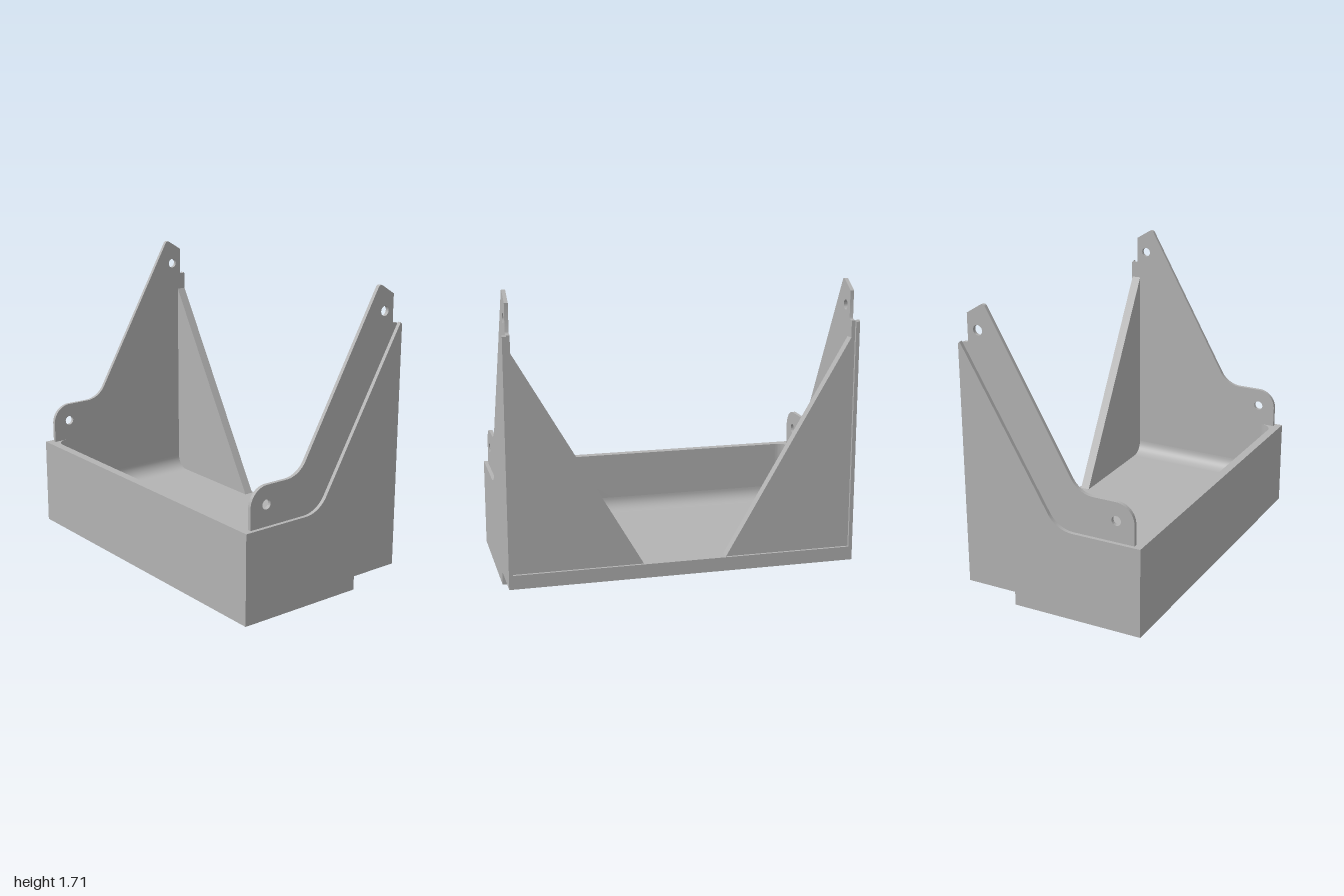
import * as THREE from 'three';
import { toCreasedNormals } from 'three/addons/utils/BufferGeometryUtils.js';

const IN = 0.957, MID = 0.978, FLOOR = 0.16, RIM = 0.52, FRONT = 0.49, R = 0.08;

// Outline through [x, y, cornerRadius] points, with true arcs at the corners
function rounded(points, path = new THREE.Shape()) {
  const n = points.length;
  points.forEach(([x, y, r = 0], i) => {
    const p = new THREE.Vector2(x, y);
    const toward = (q) => new THREE.Vector2(q[0], q[1]).sub(p).normalize();
    const a = toward(points[(i + n - 1) % n]), b = toward(points[(i + 1) % n]);
    if (!r) {
      if (i) path.lineTo(x, y); else path.moveTo(x, y);
      return;
    }
    const half = Math.acos(a.dot(b)) / 2;
    const c = a.clone().add(b).normalize().multiplyScalar(r / Math.sin(half)).add(p);
    const t = r / Math.tan(half);
    const s = a.clone().multiplyScalar(t).add(p), e = b.clone().multiplyScalar(t).add(p);
    if (i) path.lineTo(s.x, s.y); else path.moveTo(s.x, s.y);
    path.absarc(c.x, c.y, r, Math.atan2(s.y - c.y, s.x - c.x),
      Math.atan2(e.y - c.y, e.x - c.x), a.cross(b) > 0);
  });
  path.closePath();
  return path;
}

const circle = (x, y, r) => new THREE.Path().absarc(x, y, r, 0, Math.PI * 2, true);

function extrude(shape, depth) {
  const g = new THREE.ExtrudeGeometry(shape, { depth, bevelEnabled: false, curveSegments: 16 });
  return toCreasedNormals(g, 0.6);
}

// Concave fillet running round the left, front and right of the tray floor
function filletGeometry() {
  const rows = 10, seg = 8, pos = [], index = [];
  let count = 0;
  for (let j = 0; j <= rows; j++) {
    const a = (j / rows) * Math.PI / 2;
    const d = R * (1 - Math.cos(a)), y = FLOOR + R * (1 - Math.sin(a));
    const line = [[-IN + d, -0.47]];
    for (const side of [-1, 1]) {
      for (let k = 0; k <= seg; k++) {
        const t = (side < 0 ? Math.PI : Math.PI / 2) - (k / seg) * Math.PI / 2;
        line.push([side * (IN - R) + (R - d) * Math.cos(t), FRONT - R + (R - d) * Math.sin(t)]);
      }
    }
    line.push([IN - d, -0.47]);
    count = line.length;
    line.forEach(([x, z]) => pos.push(x, y, z));
  }
  for (let j = 0; j < rows; j++) {
    for (let i = 0; i < count - 1; i++) {
      const p = j * count + i, q = p + count;
      index.push(p, p + 1, q, p + 1, q + 1, q);
    }
  }
  const g = new THREE.BufferGeometry();
  g.setAttribute('position', new THREE.Float32BufferAttribute(pos, 3));
  g.setIndex(index);
  g.computeVertexNormals();
  return g;
}

export function createModel() {
  const model = new THREE.Group();
  model.name = 'bracketTray';
  const grey = new THREE.MeshStandardMaterial({ color: 0xb3b3b3 });
  grey.name = 'grey';

  const add = (name, geometry) => {
    const mesh = new THREE.Mesh(geometry, grey);
    mesh.name = name;
    model.add(mesh);
    return mesh;
  };
  const box = (name, y0, y1, z0, z1) =>
    add(name, new THREE.BoxGeometry(2, y1 - y0, z1 - z0))
      .position.set(0, (y0 + y1) / 2, (z0 + z1) / 2);

  // Stepped floor
  box('floor', 0, FLOOR, -0.24, 0.54);
  box('rearFloor', 0.08, FLOOR, -0.54, -0.24);

  // Three-sided tray wall, open at the back
  const wall = rounded([
    [-1, -0.54], [-MID, -0.54], [-MID, -0.47], [-IN, -0.47], [-IN, FRONT, R],
    [IN, FRONT, R], [IN, -0.47], [MID, -0.47], [MID, -0.54], [1, -0.54],
    [1, 0.54], [-1, 0.54],
  ]);
  add('trayWall', extrude(wall, RIM - FLOOR).rotateX(Math.PI / 2).translate(0, RIM, 0));
  add('trayFillet', filletGeometry());

  // Side profiles, drawn as (z, y)
  const outer = rounded([
    [0.035, RIM, 0.17], [-0.53, 1.49], [-0.54, 1.48], [-0.54, RIM], [0.12 + 0.02, RIM],
  ]);
  const inner = rounded([
    [0.495, RIM], [0.495, 0.75, 0.11], [0.165, 0.75, 0.15], [-0.385, 1.715, 0.02],
    [-0.49, 1.65], [-0.49, 1.49, 0.01], [-0.525, 1.485], [-0.525, RIM],
  ]);
  inner.holes.push(circle(0.388, 0.643, 0.028), circle(-0.427, 1.562, 0.028));

  // Triangular rear brace, drawn for the +x side
  const brace = (side, bolts) => {
    const m = (points) => points.map(([x, y, r]) => [side * x, y, r]);
    const shape = rounded(m([[MID, FLOOR], [0.24, FLOOR], [MID, 1.425]]));
    shape.holes.push(
      rounded(m([[0.955, 1.27, 0.05], [0.642, 0.725, 0.04], [0.955, 0.19, 0.045]]), new THREE.Path()),
      rounded(m([[0.615, 0.655, 0.05], [0.90, 0.23, 0.04].map((v, i) => (i ? v : 0.865)),
        [0.365, 0.23, 0.04]]), new THREE.Path()),
    );
    if (bolts) {
      // Blind bolt holes in the rear half only
      for (const y of [0.215, 1.24]) shape.holes.push(circle(side * 0.932, y, 0.014));
    }
    return shape;
  };

  for (const side of [1, -1]) {
    const label = side > 0 ? 'left' : 'right';
    const panel = (shape, x0, x1) =>
      extrude(shape, x1 - x0).rotateY(-Math.PI / 2).translate(side > 0 ? x1 : -x0, 0, 0);
    add(label + 'OuterPanel', panel(outer, MID, 1));
    add(label + 'InnerPlate', panel(inner, IN, MID));
    add(label + 'BraceFront', extrude(brace(side, false), 0.03).translate(0, 0, -0.5));
    add(label + 'BraceRear', extrude(brace(side, true), 0.025).translate(0, 0, -0.525));
  }
  return model;
}
